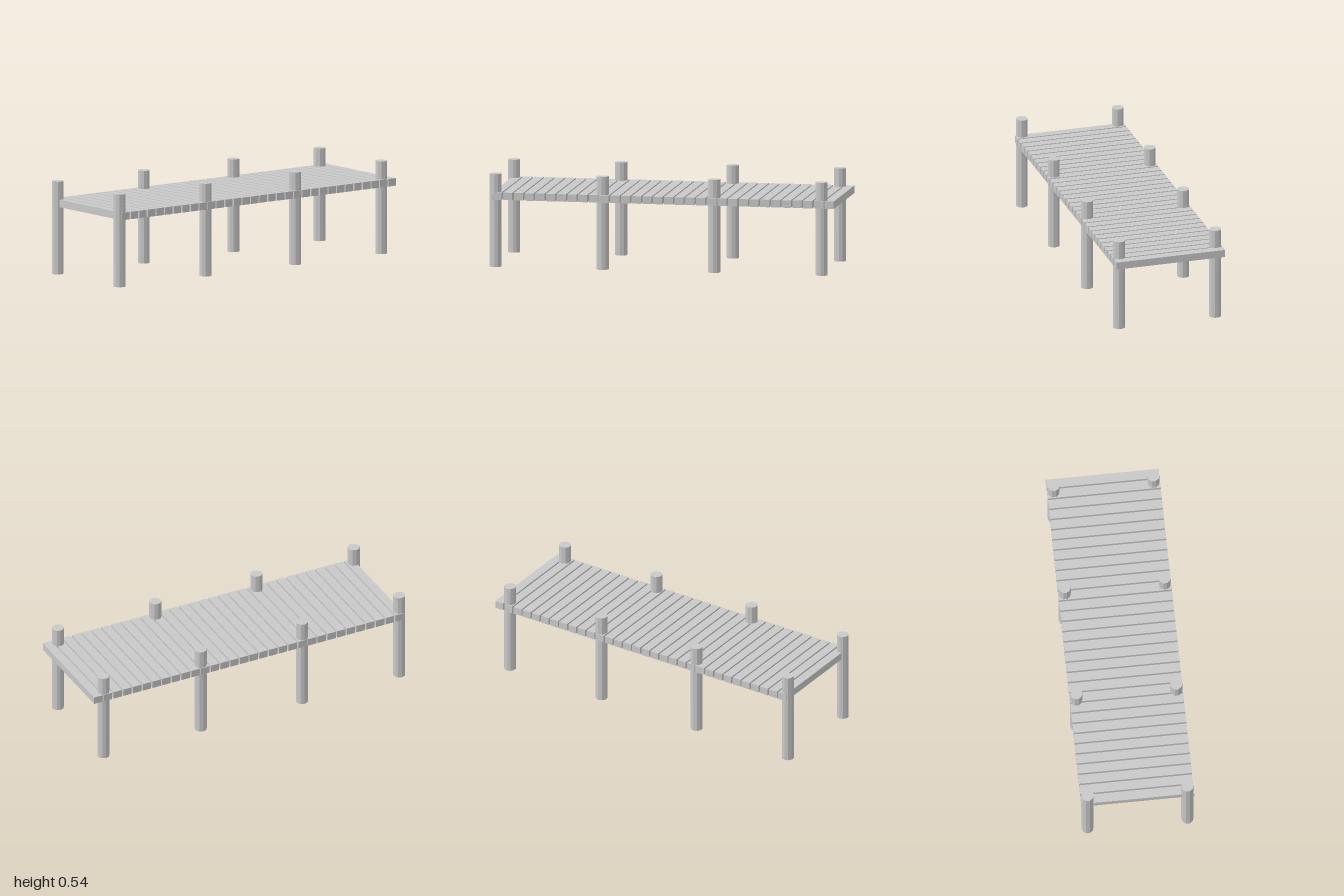
import * as THREE from 'three';

export function createModel() {
  const pier = new THREE.Group();
  pier.name = 'pier';
  const wood = new THREE.MeshStandardMaterial({ color: 0xc8c8c8, flatShading: true });
  wood.name = 'greyWood';

  // Deck: evenly spaced cross planks with narrow gaps
  const deck = new THREE.Group();
  deck.name = 'deck';
  const plankCount = 32, plankDepth = 0.053, pitch = 0.0621;
  const plankGeometry = new THREE.BoxGeometry(0.647, 0.043, plankDepth);
  for (let i = 0; i < plankCount; i++) {
    const plank = new THREE.Mesh(plankGeometry, wood);
    plank.name = `plank${i + 1}`;
    plank.position.set(0, 0.409, -1 + plankDepth / 2 + i * pitch);
    deck.add(plank);
  }
  pier.add(deck);

  // Posts: four pairs of ten-sided piles standing through the deck edges
  const posts = new THREE.Group();
  posts.name = 'posts';
  const height = 0.535;
  const postGeometry = new THREE.CylinderGeometry(0.035, 0.035, height, 10);
  postGeometry.rotateY(Math.PI / 10);
  postGeometry.translate(0, height / 2, 0);
  for (const z of [0.967, 0.346, -0.301, -0.923]) {
    for (const [side, x] of [['left', 0.285], ['right', -0.287]]) {
      const post = new THREE.Mesh(postGeometry, wood);
      post.name = `${side}Post`;
      post.position.set(x, 0, z);
      posts.add(post);
    }
  }
  pier.add(posts);

  return pier;
}
